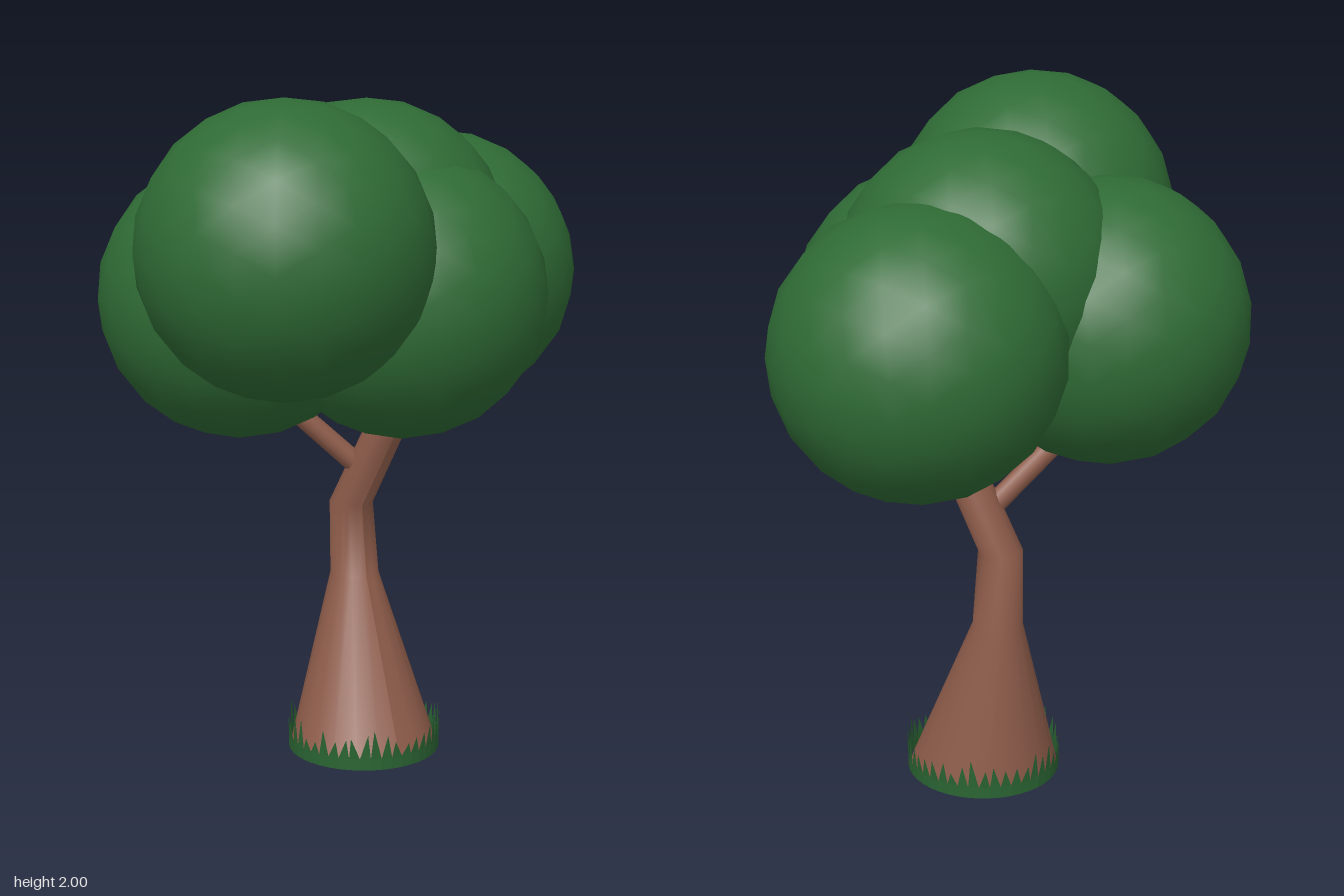
import * as THREE from 'three';

const bark = new THREE.MeshStandardMaterial({ color: 0x8f5d4b, side: THREE.DoubleSide });
const leaf = new THREE.MeshStandardMaterial({ color: 0x2f6b35 });
const blade = new THREE.MeshStandardMaterial({ color: 0x2a6432, side: THREE.DoubleSide });

// Lofts a skin through horizontal rings given as [x, y, z, radius]
function loft(rings, sides) {
  const pos = [], index = [], row = sides + 1;
  rings.forEach(([x, y, z, r], i) => {
    for (let j = 0; j <= sides; j++) {
      const a = (j % sides) / sides * Math.PI * 2;
      pos.push(x + r * Math.sin(a), y, z + r * Math.cos(a));
      if (i && j < sides) {
        const b = i * row + j, p = b - row;
        index.push(p, p + 1, b + 1, p, b + 1, b);
      }
    }
  });
  const g = new THREE.BufferGeometry();
  g.setAttribute('position', new THREE.Float32BufferAttribute(pos, 3));
  g.setIndex(index);
  g.computeVertexNormals();
  return g;
}

// Tapered straight limb between two points
function limb(from, to, r0, r1) {
  const a = new THREE.Vector3(...from), b = new THREE.Vector3(...to);
  const dir = b.clone().sub(a);
  const mesh = new THREE.Mesh(new THREE.CylinderGeometry(r1, r0, dir.length(), 10), bark);
  mesh.position.copy(a).add(b).multiplyScalar(0.5);
  mesh.quaternion.setFromUnitVectors(new THREE.Vector3(0, 1, 0), dir.normalize());
  return mesh;
}

// Ring of pointed blades standing around the trunk foot
function grassRing(cx, cz, radius, count) {
  const pos = [];
  let seed = 7;
  const rand = () => (seed = (seed * 16807) % 2147483647) / 2147483647;
  const put = (a, y, r) => pos.push(cx + r * Math.sin(a), y, cz + r * Math.cos(a));
  const step = Math.PI * 2 / count;
  for (let i = 0; i < count; i++) {
    const a = i * step, b = a + step, base = 0.035;
    const tip = 0.07 + 0.06 * rand(), lean = a + step * (0.2 + 0.6 * rand());
    put(a, 0, radius); put(b, 0, radius); put(b, base, radius);
    put(a, 0, radius); put(b, base, radius); put(a, base, radius);
    put(a, base, radius); put(b, base, radius); put(lean, tip, radius + 0.005 * rand());
  }
  const g = new THREE.BufferGeometry();
  g.setAttribute('position', new THREE.Float32BufferAttribute(pos, 3));
  g.computeVertexNormals();
  return g;
}

export function createModel() {
  const tree = new THREE.Group();
  tree.name = 'tree';
  const add = (mesh, name) => { mesh.name = name; tree.add(mesh); };

  // Flared, bent trunk, open underneath
  add(new THREE.Mesh(loft([
    [0.043, 0, -0.062, 0.222],
    [0.07, 0.51, -0.165, 0.073],
    [0.055, 0.735, -0.158, 0.065],
    [0.118, 1.0, -0.045, 0.062],
    [0.14, 1.12, 0.0, 0.055],
  ], 20), bark), 'trunk');

  // Branches reaching into the crown
  add(limb([0.07, 0.84, -0.11], [-0.16, 1.07, -0.2], 0.032, 0.03), 'backBranch');
  add(limb([0.11, 0.96, -0.06], [0.24, 1.14, -0.08], 0.035, 0.03), 'sideBranch');
  add(limb([0.11, 0.97, -0.04], [-0.02, 1.15, -0.02], 0.032, 0.028), 'innerBranch');

  // Crown of overlapping leaf balls
  const crown = new THREE.Group();
  crown.name = 'crown';
  [
    [-0.365, 1.588, 0.22],
    [0.362, 1.408, -0.185],
    [-0.275, 1.383, -0.22],
    [0.075, 1.408, 0.105],
    [0.05, 1.535, -0.06],
  ].forEach((p, i) => {
    const g = new THREE.IcosahedronGeometry(0.413, 3);
    const ball = new THREE.Mesh(g, leaf);
    ball.position.set(...p);
    ball.name = 'leafBall' + (i + 1);
    crown.add(ball);
  });
  tree.add(crown);

  add(new THREE.Mesh(grassRing(0.043, -0.062, 0.226, 44), blade), 'grass');
  return tree;
}
